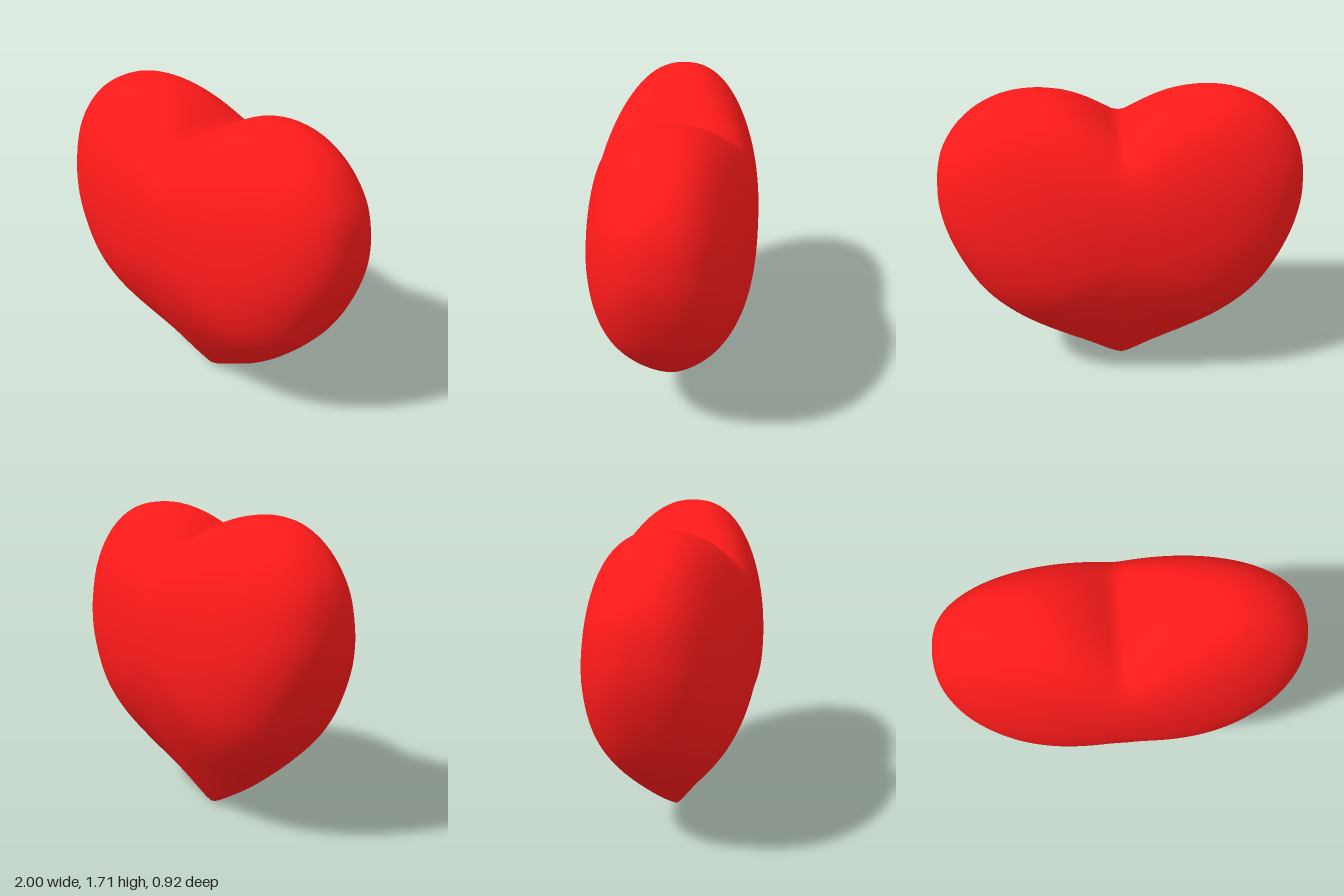
import * as THREE from 'three';
import { mergeVertices } from 'three/addons/utils/BufferGeometryUtils.js';

const CENTRE_Y = 0.97, DEPTH = 0.46;
const AROUND = 144, RINGS = 64;

// Right half of the outline, from the bottom tip up to the cleft
const HALF = [
  [0, 0.003], [0.04, 0.015], [0.18, 0.09], [0.36, 0.2], [0.61, 0.4], [0.8, 0.6],
  [0.92, 0.82], [0.985, 1.02], [1, 1.17], [0.965, 1.39], [0.84, 1.57], [0.67, 1.677],
  [0.49, 1.71], [0.32, 1.69], [0.2, 1.644], [0.1, 1.583], [0.03, 1.533], [0, 1.525],
];

function outlinePoints() {
  const left = HALF.slice(1, -1).reverse().map(([x, y]) => [-x, y]);
  const points = [...HALF, ...left].map(([x, y]) => new THREE.Vector3(x, y - CENTRE_Y, 0));
  return new THREE.CatmullRomCurve3(points, true, 'centripetal').getSpacedPoints(AROUND).slice(0, AROUND);
}

// Rounder inner outline in the same direction, so cleft and tip fade towards the middle
function softRadius(dx, dy) {
  const height = dy > 0 ? 0.74 : 0.97, power = dy > 0 ? 2 : 1.6;
  return (Math.abs(dx) ** power + Math.abs(dy / height) ** power) ** (-1 / power);
}

// Thickness falls off fully at the sides and lobes, in a straighter taper at the tip
function thickness(k, dy) {
  const power = 2.5 - 0.25 * Math.max(0, dy);
  const full = Math.max(0, 1 - k ** power) ** (1 / power);
  const taper = Math.cos(k * Math.PI / 2);
  const tip = 0.94 * Math.max(0, -dy) ** 4;
  return DEPTH * THREE.MathUtils.lerp(full, taper, tip);
}

function heartGeometry() {
  const outline = outlinePoints(), positions = [], index = [];
  // Rings run from the middle of the front, over the rim, to the middle of the back
  for (let i = 0; i <= RINGS; i++) {
    const phi = Math.PI * i / RINGS;
    const k = i % RINGS === 0 ? 0 : Math.sin(phi);
    const side = i === RINGS / 2 ? 0 : Math.sign(Math.cos(phi));
    for (const p of outline) {
      const r = p.length(), dx = p.x / r, dy = p.y / r;
      const radius = k * THREE.MathUtils.lerp(softRadius(dx, dy), r, k * k);
      const z = k === 0 ? DEPTH : thickness(k, dy);
      positions.push(dx * radius, CENTRE_Y + dy * radius, side * z);
    }
  }
  for (let i = 0; i < RINGS; i++) {
    for (let j = 0; j < AROUND; j++) {
      const n = (j + 1) % AROUND;
      const a = i * AROUND + j, b = a + AROUND, c = (i + 1) * AROUND + n, d = i * AROUND + n;
      if (i < RINGS - 1) index.push(a, b, c);
      if (i > 0) index.push(a, c, d);
    }
  }
  // The last ring is a single point, so close it with a fan
  const last = (RINGS - 1) * AROUND;
  for (let j = 0; j < AROUND; j++) index.push(last + j, RINGS * AROUND, last + (j + 1) % AROUND);
  const geometry = new THREE.BufferGeometry();
  geometry.setAttribute('position', new THREE.Float32BufferAttribute(positions, 3));
  geometry.setIndex(index);
  const merged = mergeVertices(geometry, 1e-5);
  merged.computeVertexNormals();
  return merged;
}

export function createModel() {
  const group = new THREE.Group();
  group.name = 'heartModel';
  const heart = new THREE.Mesh(heartGeometry(), new THREE.MeshStandardMaterial({ color: 0xff1a1a }));
  heart.name = 'heart';
  group.add(heart);
  return group;
}
